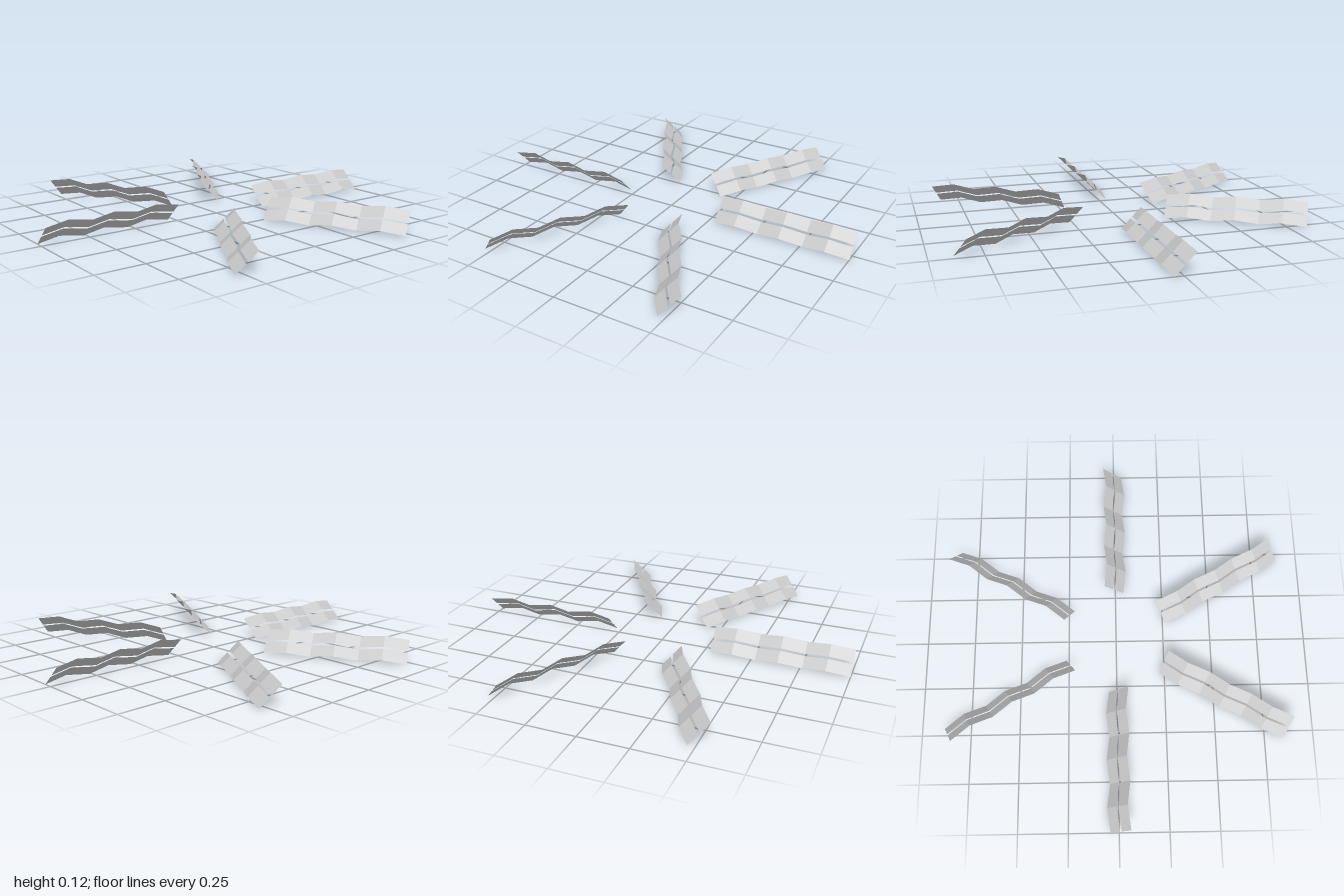
import * as THREE from 'three';

const ARMS = 6, FOLDS = 6;
const INNER = 0.28, OUTER = 1.0;      // radial extent of every blade
const HALF_WIDTH = 0.071, GAP = 0.012; // blade half width and the slot along its middle
const WAVE = 0.011;                   // height of the zigzag folds
const CENTRE_Y = 0.058;

// Folded strip running along +z, lying in the xz plane
function foldedStrip(side) {
  const width = HALF_WIDTH - GAP / 2;
  const geometry = new THREE.PlaneGeometry(width, OUTER - INNER, 1, FOLDS);
  geometry.rotateX(-Math.PI / 2);
  geometry.translate(side * (GAP / 2 + width / 2), 0, (INNER + OUTER) / 2);
  const p = geometry.attributes.position;
  for (let i = 0; i < p.count; i++) {
    const fold = Math.round((p.getZ(i) - INNER) / (OUTER - INNER) * FOLDS);
    p.setY(i, fold % 2 ? WAVE : -WAVE);
  }
  geometry.computeVertexNormals();
  return geometry;
}

export function createModel() {
  const model = new THREE.Group();
  model.name = 'bladeRing';
  const material = new THREE.MeshStandardMaterial({
    color: 0xcccccc, flatShading: true, side: THREE.DoubleSide,
  });
  const strips = { lowerStrip: foldedStrip(-1), upperStrip: foldedStrip(1) };

  // Six pitched blades around the centre, each a pair of strips
  for (let i = 0; i < ARMS; i++) {
    const arm = new THREE.Group();
    arm.name = `blade${i + 1}`;
    arm.rotation.y = i * Math.PI * 2 / ARMS;
    arm.position.y = CENTRE_Y;
    const pitch = new THREE.Group();
    pitch.name = 'pitchedPair';
    pitch.rotation.z = Math.PI / 4;
    for (const [name, geometry] of Object.entries(strips)) {
      const strip = new THREE.Mesh(geometry, material);
      strip.name = name;
      pitch.add(strip);
    }
    arm.add(pitch);
    model.add(arm);
  }
  return model;
}
